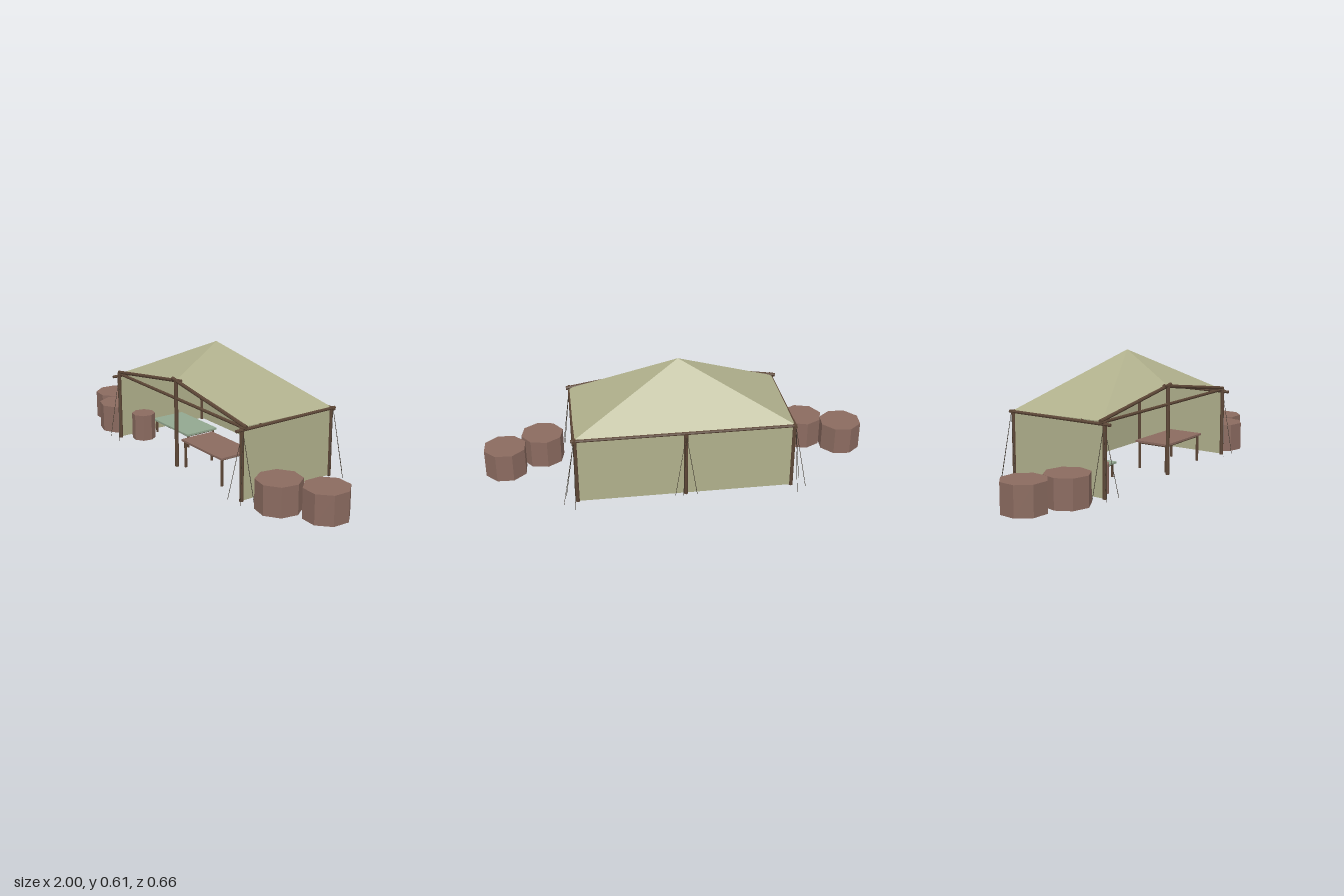
import * as THREE from 'three';

const mat = (color) => new THREE.MeshStandardMaterial({ color, flatShading: true });
const canvas = mat(0xb0b08c);
canvas.side = THREE.DoubleSide;
const wood = mat(0x5c4636);
const barrelWood = mat(0x8b6b60);
const green = mat(0x93a890);
const ropeMat = mat(0x3a3228);

const V = (x, y, z) => new THREE.Vector3(x, y, z);

export function createModel() {
  const model = new THREE.Group();

  function add(name, geometry, material, parent = model) {
    const mesh = new THREE.Mesh(geometry, material);
    mesh.name = name;
    parent.add(mesh);
    return mesh;
  }

  // Round pole between two points
  function pole(name, a, b, r, material = wood, sides = 8, parent = model) {
    const mesh = add(name, new THREE.CylinderGeometry(r, r, a.distanceTo(b), sides), material, parent);
    mesh.position.copy(a).add(b).multiplyScalar(0.5);
    mesh.quaternion.setFromUnitVectors(V(0, 1, 0), b.clone().sub(a).normalize());
    return mesh;
  }

  // Flat canvas sheet, a fan over its corners
  function sheet(name, ...corners) {
    const points = [];
    for (let i = 1; i < corners.length - 1; i++) points.push(corners[0], corners[i], corners[i + 1]);
    const geometry = new THREE.BufferGeometry().setFromPoints(points);
    geometry.computeVertexNormals();
    add(name, geometry, canvas);
  }

  // Canvas roof, walls on three sides, open front
  const W = 0.542, B = -0.255, F = 0.275;
  const apex = V(0, 0.612, 0.035), ridge = V(0, 0.45, F);
  const frontL = V(W, 0.36, F), frontR = V(-W, 0.36, F);
  const backL = V(W, 0.352, B), backR = V(-W, 0.352, B);
  sheet('roofFrontLeft', ridge, frontL, apex);
  sheet('roofFrontRight', frontR, ridge, apex);
  sheet('roofLeft', frontL, backL, apex);
  sheet('roofBack', backL, backR, apex);
  sheet('roofRight', backR, frontR, apex);
  sheet('backWall', V(W, 0.003, B), V(-W, 0.003, B), V(-W, 0.348, B), V(W, 0.348, B));
  for (const s of [1, -1]) {
    const corners = [V(s * W, 0.003, F), V(s * W, 0.003, B), V(s * W, 0.348, B), V(s * W, 0.348, F)];
    sheet('sideWall', ...(s > 0 ? corners : corners.reverse()));
  }

  // Pole frame
  for (const s of [1, -1]) {
    pole('frontPost', V(s * 0.54, 0, 0.286), V(s * 0.54, 0.36, 0.286), 0.01);
    pole('backPost', V(s * 0.54, 0, -0.252), V(s * 0.54, 0.355, -0.252), 0.01);
    pole('sideBeam', V(s * 0.543, 0.347, -0.274), V(s * 0.543, 0.347, 0.321), 0.008);
    pole('gableBeam', V(s * 0.56, 0.362, F), V(-s * 0.035, 0.452, F + s * 0.002), 0.009);
  }
  pole('frontBeam', V(-0.56, 0.356, 0.277), V(0.56, 0.356, 0.277), 0.008);
  pole('backBeam', V(-0.552, 0.347, -0.257), V(0.56, 0.347, -0.257), 0.008);
  pole('frontCentrePost', V(0, 0, 0.28), V(0, 0.455, 0.28), 0.01);
  pole('backCentrePost', V(0, 0, -0.258), V(0, 0.35, -0.258), 0.01);

  // Guy ropes
  const ropes = (top, ends) => ends.forEach(([x, z]) => pole('rope', top, V(x, 0.002, z), 0.0013, ropeMat, 4));
  for (const s of [1, -1]) {
    ropes(V(s * 0.545, 0.345, 0.285), [[s * 0.595, 0.255], [s * 0.583, 0.325], [s * 0.49, 0.328]]);
    ropes(V(s * 0.545, 0.345, -0.262), [[s * 0.595, -0.2], [s * 0.61, -0.28], [s * 0.555, -0.328]]);
  }
  ropes(V(0, 0.345, -0.266), [[-0.055, -0.275], [0.055, -0.275], [0.015, -0.28]]);

  // Tables: board, rails and four legs
  function table(name, x, z, width, depth, height, top, legR) {
    const group = new THREE.Group();
    group.name = name;
    group.position.set(x, 0, z);
    model.add(group);
    add('tableTop', new THREE.BoxGeometry(width, 0.01, depth), top, group).position.y = height - 0.005;
    const lx = width / 2 - 0.015, lz = depth / 2 - 0.015, ry = height - 0.014;
    for (const s of [1, -1]) {
      pole('longRail', V(-lx, ry, s * lz), V(lx, ry, s * lz), 0.005, wood, 6, group);
      pole('endRail', V(s * lx, ry, -lz), V(s * lx, ry, lz), 0.005, wood, 6, group);
      for (const t of [1, -1])
        pole('leg', V(s * lx, 0, t * lz), V(s * lx, height - 0.01, t * lz), legR, wood, 6, group);
    }
  }
  table('tallTable', 0.187, 0.17, 0.335, 0.19, 0.147, barrelWood, 0.008);
  table('lowTable', -0.345, 0, 0.335, 0.19, 0.077, green, 0.007);

  // Faceted barrels: x, z, radius, height, turn
  const barrels = [
    [-0.893, 0.11, 0.111, 0.146, 0.3],
    [-0.7, 0.197, 0.111, 0.146, 0.1],
    [0.7, 0.197, 0.111, 0.146, 0.2],
    [0.893, 0.085, 0.111, 0.146, 0.35],
    [-0.467, 0.185, 0.062, 0.14, 0.2],
  ];
  for (const [x, z, r, h, turn] of barrels) {
    const barrel = add('barrel', new THREE.CylinderGeometry(r, r, h, 8), barrelWood);
    barrel.position.set(x, h / 2, z);
    barrel.rotation.y = turn;
  }

  return model;
}
